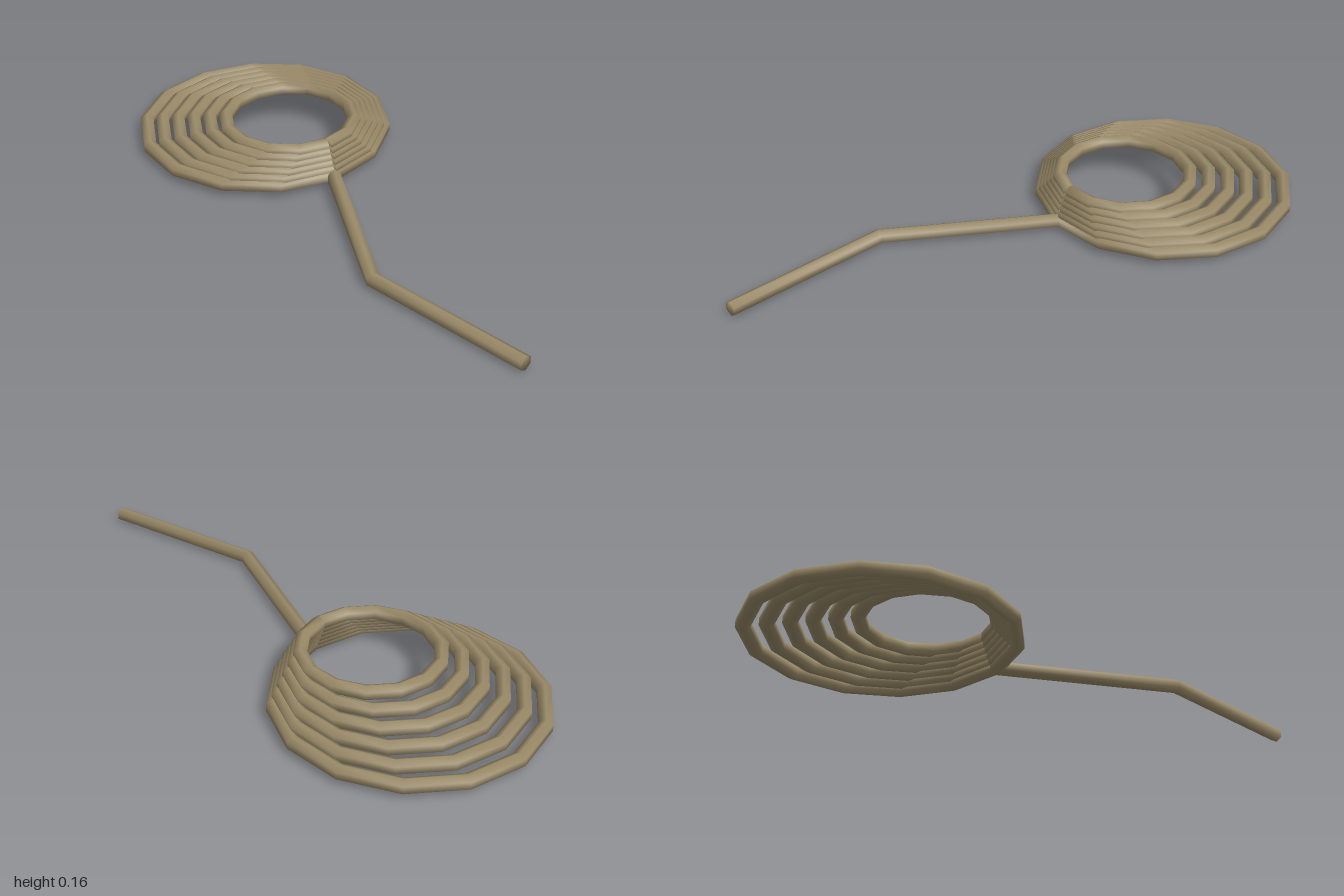
import * as THREE from 'three';

const SIDES = 6, RADIUS = 0.025, TURN_STEPS = 14, TURNS = 6;

// Sweeps a hexagonal section along a nearly level path, with mitred corners and closed ends.
function sweepRope(points) {
  const up = new THREE.Vector3(0, 1, 0);
  const last = points.length - 1;
  const direction = (i) => points[i + 1].clone().sub(points[i]).setY(0).normalize();
  const positions = [], index = [];
  points.forEach((p, i) => {
    const before = direction(Math.max(i - 1, 0));
    const after = direction(Math.min(i, last - 1));
    const tangent = before.clone().add(after).normalize();
    const side = tangent.clone().cross(up);
    const width = RADIUS / tangent.dot(after);
    for (let j = 0; j < SIDES; j++) {
      const a = Math.PI / 2 + (j / SIDES) * Math.PI * 2;
      const v = p.clone()
        .addScaledVector(side, Math.cos(a) * width)
        .addScaledVector(up, Math.sin(a) * RADIUS);
      positions.push(v.x, v.y, v.z);
      if (i < last) {
        const k = (j + 1) % SIDES, n = i * SIDES;
        index.push(n + j, n + SIDES + j, n + k);
        index.push(n + k, n + SIDES + j, n + SIDES + k);
      }
    }
  });
  // end caps
  const end = last * SIDES;
  for (let j = 1; j < SIDES - 1; j++) {
    index.push(0, j, j + 1);
    index.push(end, end + j + 1, end + j);
  }
  const geometry = new THREE.BufferGeometry();
  geometry.setAttribute('position', new THREE.Float32BufferAttribute(positions, 3));
  geometry.setIndex(index);
  geometry.computeVertexNormals();
  return geometry;
}

export function createModel() {
  const group = new THREE.Group();
  group.name = 'ropeCoil';
  const rope = new THREE.MeshStandardMaterial({ color: 0x9a8a68 });
  rope.name = 'ropeTan';

  // Stacked turns shrink upward and lean toward the tail side
  for (let t = 0; t < TURNS; t++) {
    const radius = 0.423 - t * 0.04;
    const centreX = -0.555 + t * 0.033;
    const y = 0.035 + t * 0.0195;
    const path = [];
    for (let i = 0; i <= TURN_STEPS; i++) {
      const a = (i / TURN_STEPS) * Math.PI * 2;
      path.push(new THREE.Vector3(centreX + Math.cos(a) * radius, y, Math.sin(a) * radius));
    }
    // The bottom turn runs on into the loose tail
    if (t === 0) {
      path.push(new THREE.Vector3(0.425, 0.027, 0.242), new THREE.Vector3(0.994, 0.025, 0.129));
    }
    const mesh = new THREE.Mesh(sweepRope(path), rope);
    mesh.name = t === 0 ? 'bottomTurnAndTail' : 'turn' + (t + 1);
    group.add(mesh);
  }
  return group;
}
